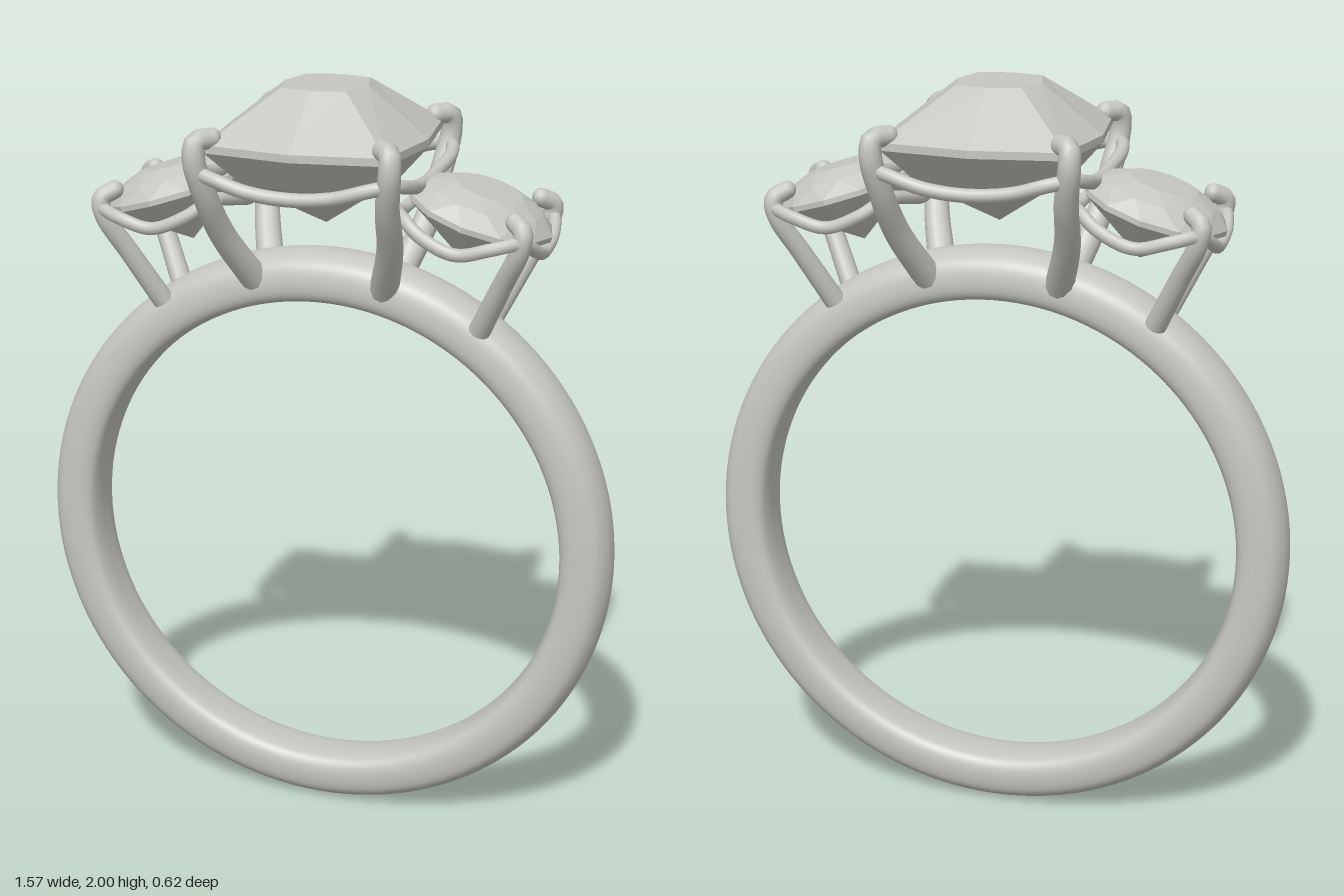
import * as THREE from 'three';

const metal = new THREE.MeshStandardMaterial({ color: 0xc6c6c1 });
metal.name = 'silver grey';

const add = (parent, name, geo) => {
  const mesh = new THREE.Mesh(geo, metal);
  mesh.name = name;
  parent.add(mesh);
  return mesh;
};

// Points mirrored by signs in x and z
const path = (pts, sx, sz) => pts.map(([x, y, z]) => new THREE.Vector3(x * sx, y, z * sz));

// Faceted gem lofted through rings, ordered from top to bottom
function gem(rings) {
  const pos = [];
  for (let k = 0; k + 1 < rings.length; k++) {
    const a = rings[k], b = rings[k + 1], n = a.length;
    for (let i = 0; i < n; i++) {
      const j = (i + 1) % n;
      pos.push(...a[i], ...b[i], ...a[j], ...a[j], ...b[i], ...b[j]);
    }
  }
  const g = new THREE.BufferGeometry();
  g.setAttribute('position', new THREE.Float32BufferAttribute(pos, 3));
  g.computeVertexNormals();
  return g;
}

// Rounded prong: a tube that tapers from r0 at the tip to r1 at the base
function prong(parent, name, pts, r0, r1) {
  const curve = new THREE.CatmullRomCurve3(pts);
  const n = 32, sides = 12;
  const geo = new THREE.TubeGeometry(curve, n, 1, sides);
  const p = geo.attributes.position, v = new THREE.Vector3();
  for (let i = 0; i <= n; i++) {
    const c = curve.getPointAt(i / n), r = r0 + (r1 - r0) * i / n;
    for (let j = 0; j <= sides; j++) {
      const id = i * (sides + 1) + j;
      v.fromBufferAttribute(p, id).sub(c).multiplyScalar(r).add(c);
      p.setXYZ(id, v.x, v.y, v.z);
    }
  }
  add(parent, name, geo);
  add(parent, name + 'Tip', new THREE.SphereGeometry(r0, 12, 8)).position.copy(pts[0]);
}

function wire(parent, name, pts, r) {
  const curve = new THREE.CatmullRomCurve3(pts, true);
  add(parent, name, new THREE.TubeGeometry(curve, 96, r, 10, true));
}

// Band: closed rounded profile turned around z, narrower towards the bottom
function band(parent) {
  const half = [[0.65, 0], [0.652, 0.04], [0.662, 0.07], [0.685, 0.083], [0.725, 0.083],
    [0.758, 0.071], [0.779, 0.04], [0.786, 0]];
  const loop = [
    ...half.map(([r, z]) => new THREE.Vector3(r, -z, 0)),
    ...half.slice(1, -1).reverse().map(([r, z]) => new THREE.Vector3(r, z, 0)),
  ];
  const profile = new THREE.CatmullRomCurve3(loop, true).getPoints(56)
    .map(p => new THREE.Vector2(p.x, p.y));
  const geo = new THREE.LatheGeometry(profile, 128);
  geo.rotateX(Math.PI / 2);
  geo.translate(0, 0.786, 0);
  const p = geo.attributes.position;
  for (let i = 0; i < p.count; i++) p.setZ(i, p.getZ(i) * (0.87 + 0.12 * p.getY(i)));
  add(parent, 'band', geo);
}

// Cushion outline: corners at (cx, cz), side middles at mx and mz
const cushion = (y, cx, cz, mx, mz) => [
  [0, y, mz], [cx, y, cz], [mx, y, 0], [cx, y, -cz],
  [0, y, -mz], [-cx, y, -cz], [-mx, y, 0], [-cx, y, cz],
];

// Round outline, turned by a fraction of one facet
const round = (y, r, turn) => Array.from({ length: 12 }, (_, i) => {
  const t = (i + turn) * Math.PI / 6;
  return [r * Math.sin(t), y, r * Math.cos(t)];
});

function centreSetting(parent) {
  const group = new THREE.Group();
  group.name = 'centreSetting';
  parent.add(group);
  add(group, 'centreStone', gem([
    cushion(2.0, 0, 0, 0, 0),
    cushion(2.0, 0.085, 0.1, 0.11, 0.12),
    cushion(1.875, 0.235, 0.25, 0.27, 0.285),
    cushion(1.855, 0.235, 0.25, 0.27, 0.285),
    cushion(1.765, 0.165, 0.175, 0.19, 0.2),
    cushion(1.64, 0, 0, 0, 0),
  ]));
  const prongPts = [[0.222, 1.89, 0.232], [0.25, 1.885, 0.265], [0.252, 1.84, 0.274],
    [0.238, 1.75, 0.243], [0.222, 1.63, 0.165], [0.175, 1.49, 0.06]];
  for (const sx of [1, -1]) for (const sz of [1, -1])
    prong(group, 'centreProng', path(prongPts, sx, sz), 0.027, 0.038);
  // Gallery wire dips between the prongs
  const q = [[0, 1.765, 0.29], [0.11, 1.775, 0.29], [0.2, 1.8, 0.285], [0.255, 1.81, 0.26],
    [0.275, 1.795, 0.19], [0.268, 1.775, 0.1], [0.265, 1.765, 0]];
  const back = q.slice(0, -1).reverse();
  wire(group, 'centreGallery', [
    ...path(q, 1, 1), ...path(back, 1, -1),
    ...path(q.slice(1), -1, -1), ...path(back.slice(0, -1), -1, 1),
  ], 0.018);
}

function sideSetting(parent, s) {
  const group = new THREE.Group();
  group.name = s > 0 ? 'leftSetting' : 'rightSetting';
  parent.add(group);
  const stone = add(group, 'sideStone', gem([
    round(0.066, 0, 0), round(0.066, 0.09, 0), round(0.042, 0.148, 0.5),
    round(0.006, 0.19, 1), round(-0.008, 0.19, 1), round(-0.14, 0, 1),
  ]));
  stone.position.set(0.41 * s, 1.7, 0);
  stone.rotation.z = -0.3 * s;
  const prongPts = [[0.53, 1.715, 0.135], [0.557, 1.695, 0.16], [0.55, 1.65, 0.16],
    [0.5, 1.55, 0.122], [0.43, 1.41, 0.068]];
  for (const sz of [1, -1]) prong(group, 'sideProng', path(prongPts, s, sz), 0.024, 0.029);
  const h = [[0.572, 1.61, 0], [0.575, 1.635, 0.09], [0.553, 1.67, 0.165], [0.49, 1.66, 0.203],
    [0.4, 1.64, 0.207], [0.31, 1.675, 0.2], [0.25, 1.715, 0.165], [0.22, 1.705, 0.09], [0.205, 1.69, 0]];
  wire(group, 'sideGallery', [...path(h, s, 1), ...path(h.slice(1, -1).reverse(), s, -1)], 0.017);
}

export function createModel() {
  const ring = new THREE.Group();
  ring.name = 'ring';
  band(ring);
  centreSetting(ring);
  for (const s of [1, -1]) sideSetting(ring, s);
  return ring;
}
